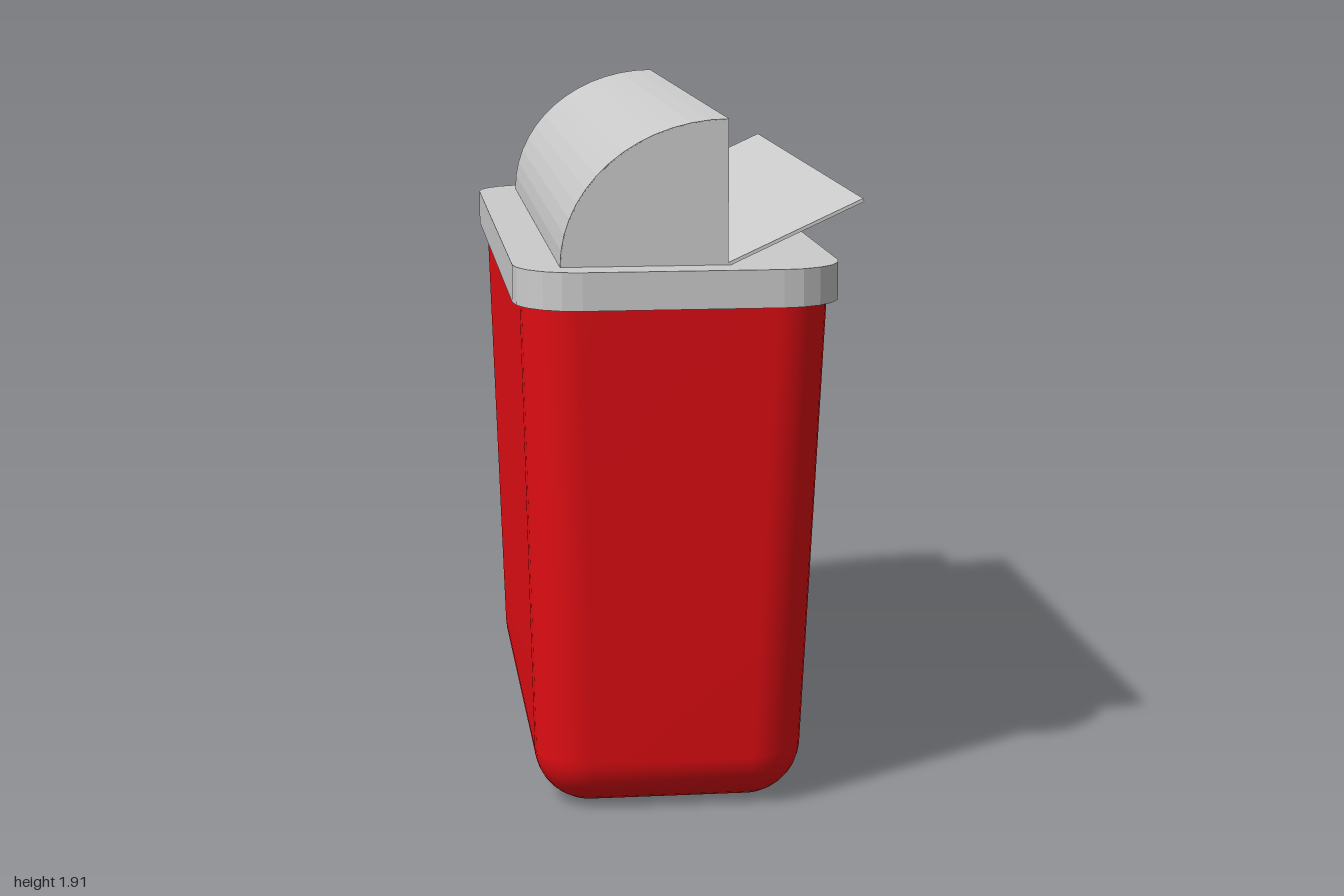
import * as THREE from 'three';

const CX = -0.029; // the bin sits slightly off centre because of the open flap
const mat = (color) => new THREE.MeshStandardMaterial({ color, side: THREE.DoubleSide });

function addMesh(parent, name, geometry, material) {
  const mesh = new THREE.Mesh(geometry, material);
  mesh.name = name;
  parent.add(mesh);
  return mesh;
}

// Outline of a rounded rectangle with half sizes a, b and corner radius r
function outline(a, b, r, n = 8) {
  const pts = [];
  for (let c = 0; c < 4; c++) {
    const sx = c === 0 || c === 3 ? 1 : -1, sy = c < 2 ? 1 : -1;
    for (let i = 0; i <= n; i++) {
      const t = (c + i / n) * Math.PI / 2;
      pts.push(new THREE.Vector2(sx * (a - r) + r * Math.cos(t), sy * (b - r) + r * Math.sin(t)));
    }
  }
  return pts;
}

// Tapered tub with rounded corners and a rounded bottom edge, open at the top
function tubGeometry() {
  const pos = [], index = [], R = 0.15, steps = 8;
  const rings = [];
  for (let i = 0; i <= steps; i++) {
    const t = i / steps * Math.PI / 2;
    rings.push([R * (1 - Math.cos(t)), R * (1 - Math.sin(t))]);
  }
  rings.reverse();
  rings.forEach((r, i) => { rings[i] = [R - r[0], r[1]]; });
  // rings now run from the top of the fillet inwards or outwards; rebuild bottom to top
  const levels = [];
  for (let i = 0; i <= steps; i++) {
    const t = i / steps * Math.PI / 2;
    levels.push({ y: R * (1 - Math.cos(t)), inset: R * (1 - Math.sin(t)) });
  }
  for (const y of [0.5, 1.0, 1.43, 1.515]) levels.push({ y, inset: 0 });
  let n = 0;
  levels.forEach(({ y, inset }) => {
    const a = 0.366 + 0.030 * y, b = 0.79 + 0.1 * y;
    const ring = outline(a - inset, b - inset, Math.max(R - inset, 0.004));
    n = ring.length;
    ring.forEach((p) => pos.push(CX + p.x, y, -p.y));
  });
  for (let l = 0; l < levels.length - 1; l++) {
    for (let i = 0; i < n; i++) {
      const j = (i + 1) % n, p = l * n, q = p + n;
      index.push(p + i, p + j, q + j, p + i, q + j, q + i);
    }
  }
  const centre = pos.length / 3;
  pos.push(CX, 0, 0);
  for (let i = 0; i < n; i++) index.push(centre, (i + 1) % n, i);
  const g = new THREE.BufferGeometry();
  g.setAttribute('position', new THREE.Float32BufferAttribute(pos, 3));
  g.setIndex(index);
  g.computeVertexNormals();
  return g;
}

// Horizontal rounded slab with a hole, from y0 to y1
function slab(outer, hole, y0, y1) {
  const shape = new THREE.Shape(outer);
  shape.holes.push(new THREE.Path(hole));
  return new THREE.ExtrudeGeometry(shape, { depth: y1 - y0, bevelEnabled: false })
    .rotateX(-Math.PI / 2).translate(CX, y0, 0);
}

// Quarter-round hood profile, from the foot at the back up to the front edge
function hoodCurve(inset) {
  const pts = [];
  for (let i = 0; i <= 14; i++) {
    const t = i / 14 * Math.PI / 2;
    pts.push(new THREE.Vector2(0.1 - (0.44 - inset) * Math.cos(t), 1.53 + (0.38 - inset) * Math.sin(t)));
  }
  return pts;
}

function extrudeZ(points, z0, z1) {
  return new THREE.ExtrudeGeometry(new THREE.Shape(points), { depth: z1 - z0, bevelEnabled: false })
    .translate(0, 0, z0);
}

export function createModel() {
  const model = new THREE.Group();
  model.name = 'disposalBin';
  const grey = mat(0xcccccc), red = mat(0xe60e14), yellow = mat(0xe6cc10);

  addMesh(model, 'tub', tubGeometry(), red);

  // Label lying on the sloping side wall
  const label = addMesh(model, 'label', new THREE.BoxGeometry(0.004, 0.67, 0.81), yellow);
  label.position.set(CX + 0.366 + 0.03 * 0.855 + 0.002, 0.855, -0.305);
  label.rotation.z = -Math.atan(0.03);

  // Lid: top plate with the opening, and a hollow skirt around it
  const lid = new THREE.Group();
  lid.name = 'lid';
  model.add(lid);
  const rim = outline(0.431, 1, 0.17, 5);
  const x0 = -0.33 - CX, x1 = 0.1 - CX;
  const opening = [[x0, -0.89], [x0, 0.89], [x1, 0.89], [x1, -0.89]].map((p) => new THREE.Vector2(...p));
  addMesh(lid, 'topPlate', slab(rim, opening, 1.515, 1.53), grey);
  addMesh(lid, 'skirt', slab(rim, outline(0.419, 0.988, 0.158, 5), 1.43, 1.515), grey);

  // Hood: thin curved shell closed by two end walls, open to the front
  const hood = new THREE.Group();
  hood.name = 'hood';
  model.add(hood);
  addMesh(hood, 'hoodShell', extrudeZ([...hoodCurve(0), ...hoodCurve(0.012).reverse()], -0.9, 0.9), grey);
  const wall = [...hoodCurve(0.002), new THREE.Vector2(0.1, 1.53)];
  addMesh(hood, 'hoodEndLeft', extrudeZ(wall, 0.89, 0.901), grey);
  addMesh(hood, 'hoodEndRight', extrudeZ(wall, -0.901, -0.89), grey);

  // Open flap hinged at the front edge of the opening
  const flap = addMesh(model, 'flap', new THREE.BoxGeometry(0.392, 0.009, 1.8).translate(0.196, 0, 0), grey);
  flap.position.set(0.1, 1.531, 0);
  flap.rotation.z = Math.atan2(0.163, 0.354);

  return model;
}
